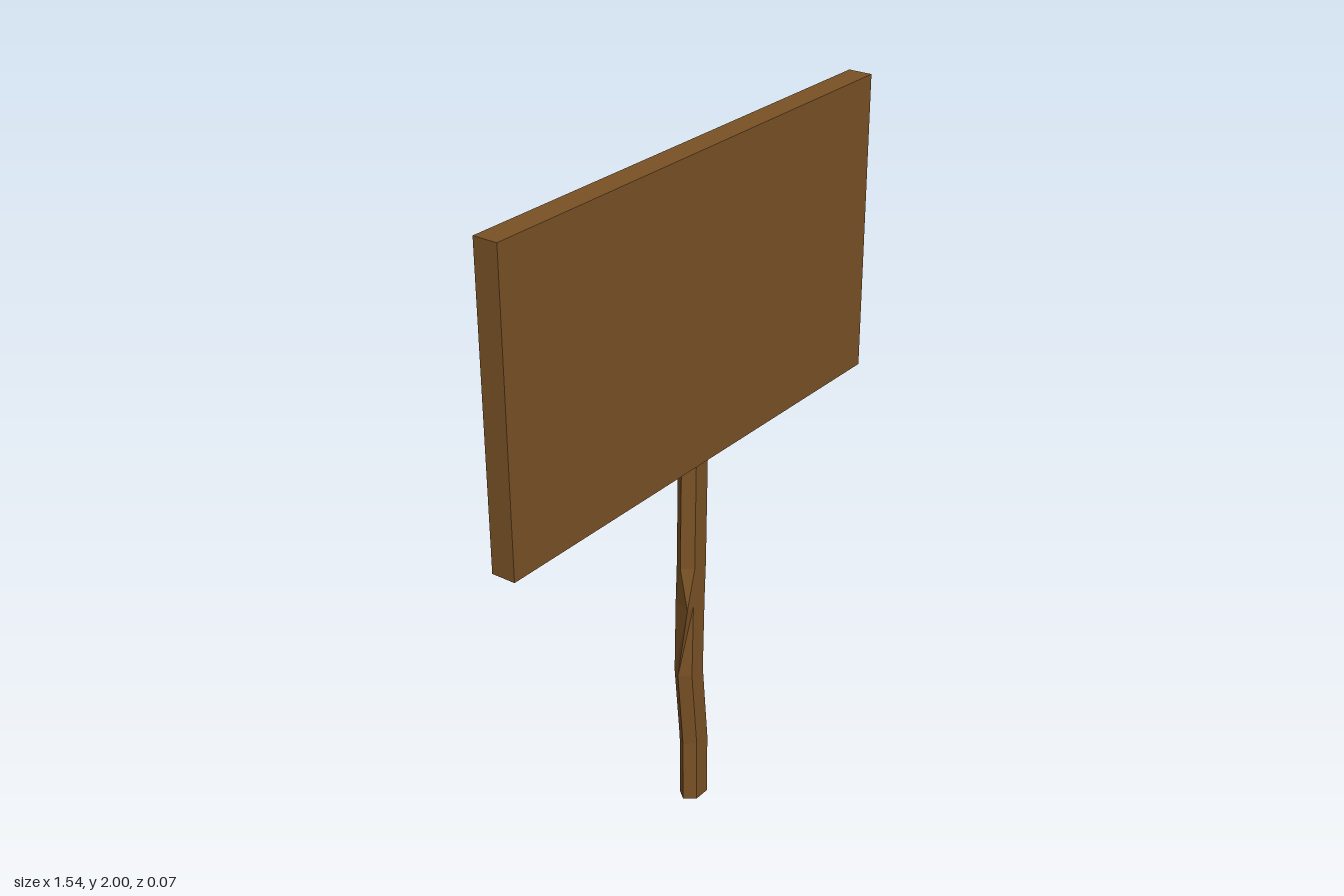
import * as THREE from 'three';

// Crooked hexagonal post: rings of six corners, shifted sideways by height
function makePost() {
  const rings = [[0, 0], [0.2, 0], [0.45, -0.023], [0.68, -0.016], [0.8, -0.01], [1.13, -0.003]];
  const hex = [[0.05, 0], [0.026, 0.032], [-0.026, 0.032], [-0.05, 0], [-0.026, -0.03], [0.026, -0.03]];
  const positions = [], index = [];
  rings.forEach(([y, shift], r) => {
    hex.forEach(([x, z], i) => {
      // one corner is pulled forward to make a knot in the wood
      const knot = r === 3 && i === 3;
      positions.push(knot ? -0.07 : x + shift, y, knot ? 0.032 : z);
    });
  });
  for (let r = 0; r < rings.length - 1; r++) {
    for (let i = 0; i < 6; i++) {
      const a = r * 6 + i, b = r * 6 + (i + 1) % 6;
      index.push(a, a + 6, b, b, a + 6, b + 6);
    }
  }
  // end caps
  const top = (rings.length - 1) * 6;
  for (let i = 1; i < 5; i++) {
    index.push(0, i, i + 1);
    index.push(top, top + i + 1, top + i);
  }
  const indexed = new THREE.BufferGeometry();
  indexed.setAttribute('position', new THREE.Float32BufferAttribute(positions, 3));
  indexed.setIndex(index);
  const geometry = indexed.toNonIndexed();
  geometry.computeVertexNormals();
  return geometry;
}

export function createModel() {
  const model = new THREE.Group();
  model.name = 'signpost';
  const wood = new THREE.MeshStandardMaterial({ color: 0x7a5226 });
  wood.name = 'brown wood';
  wood.flatShading = true;

  const post = new THREE.Mesh(makePost(), wood);
  post.name = 'post';

  // Blank rectangular sign board
  const board = new THREE.Mesh(new THREE.BoxGeometry(1.544, 0.88, 0.072), wood);
  board.name = 'board';
  board.position.y = 1.56;

  model.add(post, board);
  return model;
}
